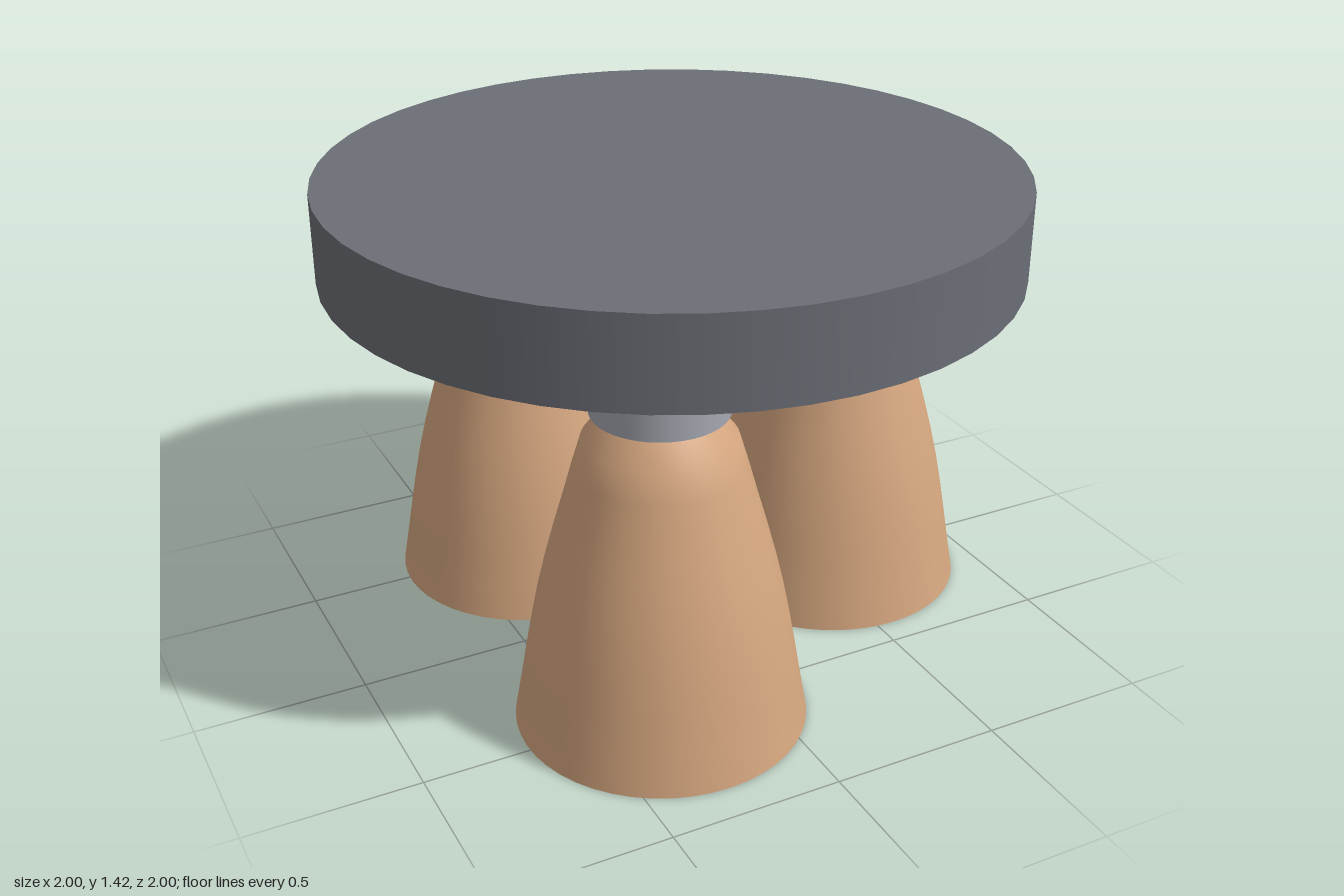
import * as THREE from 'three';
import { toCreasedNormals } from 'three/addons/utils/BufferGeometryUtils.js';

export function createModel() {
  const model = new THREE.Group();
  model.name = 'ceilingLamp';

  const material = (name, color) => {
    const m = new THREE.MeshStandardMaterial({ color });
    m.name = name;
    return m;
  };
  const darkGrey = material('darkGrey', 0x6b6e76);
  const lightGrey = material('lightGrey', 0xa5a8b1);
  const copper = material('copper', 0xd5a67f);

  const add = (parent, name, geometry, mat, y = 0) => {
    const mesh = new THREE.Mesh(geometry, mat);
    mesh.name = name;
    mesh.position.y = y;
    parent.add(mesh);
  };

  // Round mounting plate
  add(model, 'mountingPlate', new THREE.CylinderGeometry(1, 1, 0.26, 48), darkGrey, 1.29);

  // Bell shade: outer wall as [radius, height], hollow and open at the bottom
  const outer = [
    [0.415, 0], [0.397, 0.1], [0.38, 0.2], [0.362, 0.3], [0.342, 0.4], [0.318, 0.5],
    [0.291, 0.6], [0.262, 0.7], [0.237, 0.79], [0.213, 0.87], [0.15, 0.95],
  ];
  const wall = 0.04;
  const inner = outer.slice(0, -1).map(([r, y]) => [r - wall, y]).reverse();
  const profile = [[0, 0.92], [0.11, 0.92], ...inner, ...outer]
    .map(([r, y]) => new THREE.Vector2(r, y));
  const shadeGeometry = toCreasedNormals(new THREE.LatheGeometry(profile, 48), 0.45);
  const socketGeometry = new THREE.CylinderGeometry(0.19, 0.19, 0.21, 40);

  // Three spotlights evenly spaced around the plate
  for (let i = 0; i < 3; i++) {
    const angle = (i * Math.PI * 2) / 3;
    const spot = new THREE.Group();
    spot.name = `spotlight${i + 1}`;
    spot.position.set(0.55 * Math.cos(angle), 0, 0.55 * Math.sin(angle));
    add(spot, 'socket', socketGeometry, lightGrey, 1.055);
    add(spot, 'shade', shadeGeometry, copper);
    model.add(spot);
  }

  return model;
}
